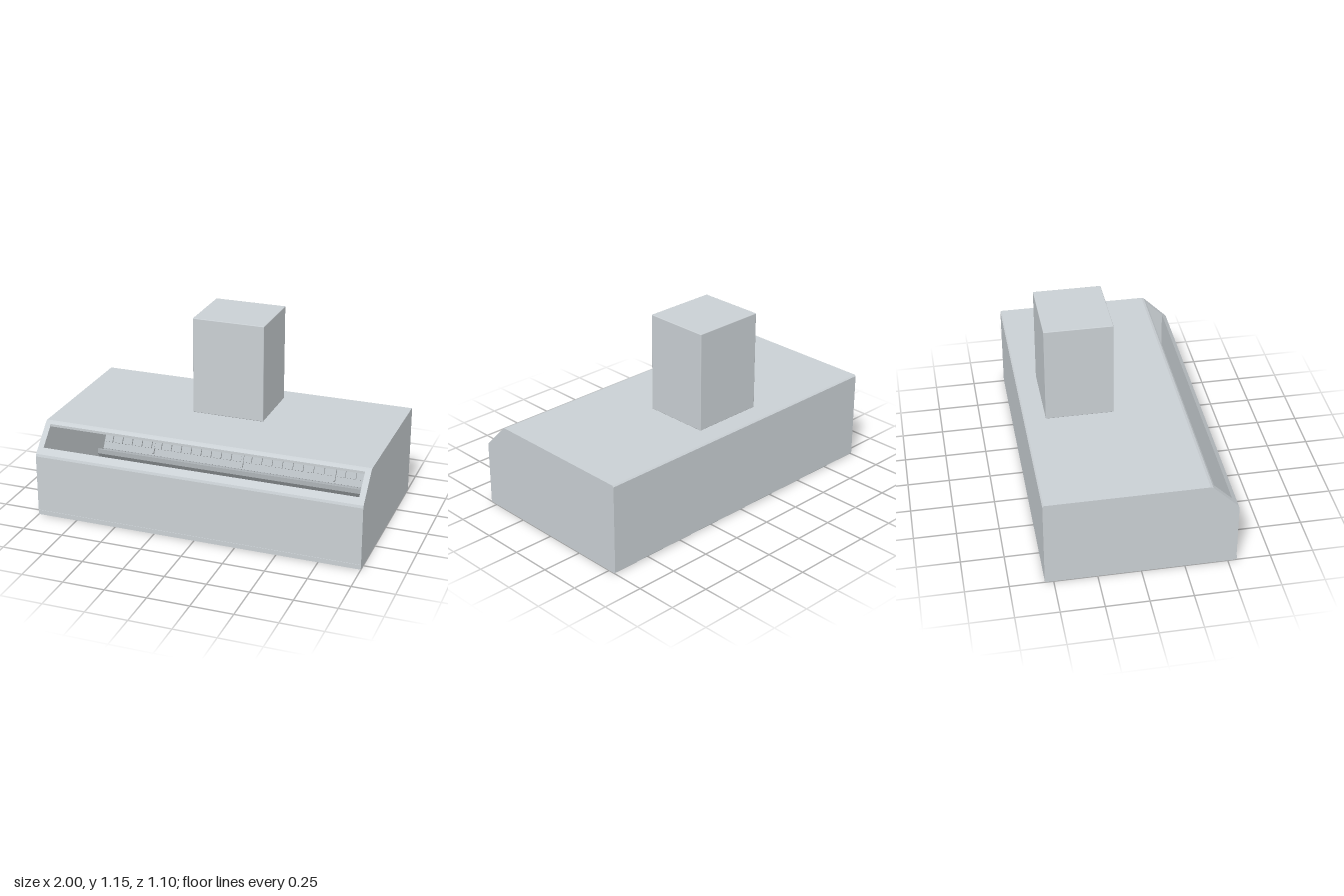
import * as THREE from 'three';
import { RoundedBoxGeometry } from 'three/addons/geometries/RoundedBoxGeometry.js';

export function createModel() {
  const model = new THREE.Group();
  model.name = 'extractorHood';
  const material = (name, color) => {
    const m = new THREE.MeshStandardMaterial({ color });
    m.name = name;
    return m;
  };
  const steel = material('brushed steel', 0xcad0d4);
  const filterSteel = material('filter steel', 0xb8bec2);
  const gutterSteel = material('gutter steel', 0xaeb4b8);

  const add = (name, mat, geometry, x = 0, y = 0, z = 0, parent = model) => {
    const mesh = new THREE.Mesh(geometry, mat);
    mesh.name = name;
    mesh.position.set(x, y, z);
    parent.add(mesh);
    return mesh;
  };
  const box = (name, mat, w, h, d, x, y, z, parent) =>
    add(name, mat, new THREE.BoxGeometry(w, h, d), x, y, z, parent);

  // Extrudes a [z, y] section along x, centred on cx
  const section = (name, mat, points, width, cx = 0) => {
    const shape = new THREE.Shape(points.map(([z, y]) => new THREE.Vector2(-z, y)));
    const geometry = new THREE.ExtrudeGeometry(shape, { depth: width, bevelEnabled: false });
    geometry.translate(0, 0, -width / 2);
    geometry.rotateY(Math.PI / 2);
    return add(name, mat, geometry, cx);
  };

  // Canopy side walls, which also close the ends of the sloped slot
  const wall = 0.035, inner = 2 - 2 * wall;
  for (const s of [-1, 1]) {
    section('sideWall', steel, [
      [-0.55, 0.008], [-0.542, 0], [0.542, 0], [0.55, 0.008], [0.55, 0.38], [0.545, 0.395],
      [0.395, 0.545], [0.38, 0.55], [-0.542, 0.55], [-0.55, 0.542],
    ], wall, s * (1 - wall / 2));
  }

  // Back with top, and front wall; both fold onto the slope
  section('backAndTop', steel, [
    [-0.55, 0.008], [-0.542, 0], [-0.525, 0], [-0.525, 0.52], [0.405, 0.52],
    [0.405, 0.535], [0.395, 0.545], [0.38, 0.55], [-0.542, 0.55], [-0.55, 0.542],
  ], inner);
  section('frontWall', steel, [
    [0.513, 0], [0.542, 0], [0.55, 0.008], [0.55, 0.38], [0.545, 0.395], [0.513, 0.427],
  ], inner);
  box('frontHem', steel, 1.996, 0.028, 0.004, 0, 0.016, 0.551);

  // Chimney
  add('chimney', steel, new RoundedBoxGeometry(0.444, 0.597, 0.4, 2, 0.004), 0, 0.8515, -0.222);

  // Grease gutter with undercut sides
  section('greaseGutter', gutterSteel, [
    [-0.288, 0.105], [-0.275, 0.045], [-0.22, 0.045], [-0.18, 0.1],
    [-0.18, 0.13], [-0.19, 0.13], [-0.19, 0.105], [-0.226, 0.057], [-0.265, 0.057],
    [-0.276, 0.105],
  ], 1.89);

  // Filter bank leaning back from the gutter to the rear wall
  const filters = new THREE.Group();
  filters.name = 'filterBank';
  filters.position.set(0, 0.295, -0.39);
  filters.rotation.x = -0.533;
  model.add(filters);
  box('filterPlate', filterSteel, 1.89, 0.46, 0.016, 0, 0, 0, filters);
  const count = 28, pitch = 1.89 / count;
  for (let i = 0; i < count; i++) {
    const x = (i - (count - 1) / 2) * pitch;
    box('filterRib', filterSteel, 0.05, 0.36, 0.014, x, -0.006, 0.014, filters);
  }
  for (const x of [-0.6, 0, 0.6]) {
    box('filterDivider', filterSteel, 0.014, 0.44, 0.024, x, 0, 0.012, filters);
  }
  for (const x of [-0.476, 0, 0.476]) {
    box('rearSeam', filterSteel, 0.008, 0.44, 0.008, x, 0, -0.01, filters);
  }

  // Top filter holder against the rear wall
  box('filterHolder', filterSteel, 1.89, 0.025, 0.06, 0, 0.487, -0.495);

  // Ceiling lamps
  for (const s of [-1, 1]) {
    box('ceilingLamp', filterSteel, 0.5, 0.015, 0.08, s * 0.5, 0.5125, 0.27);
  }

  return model;
}
